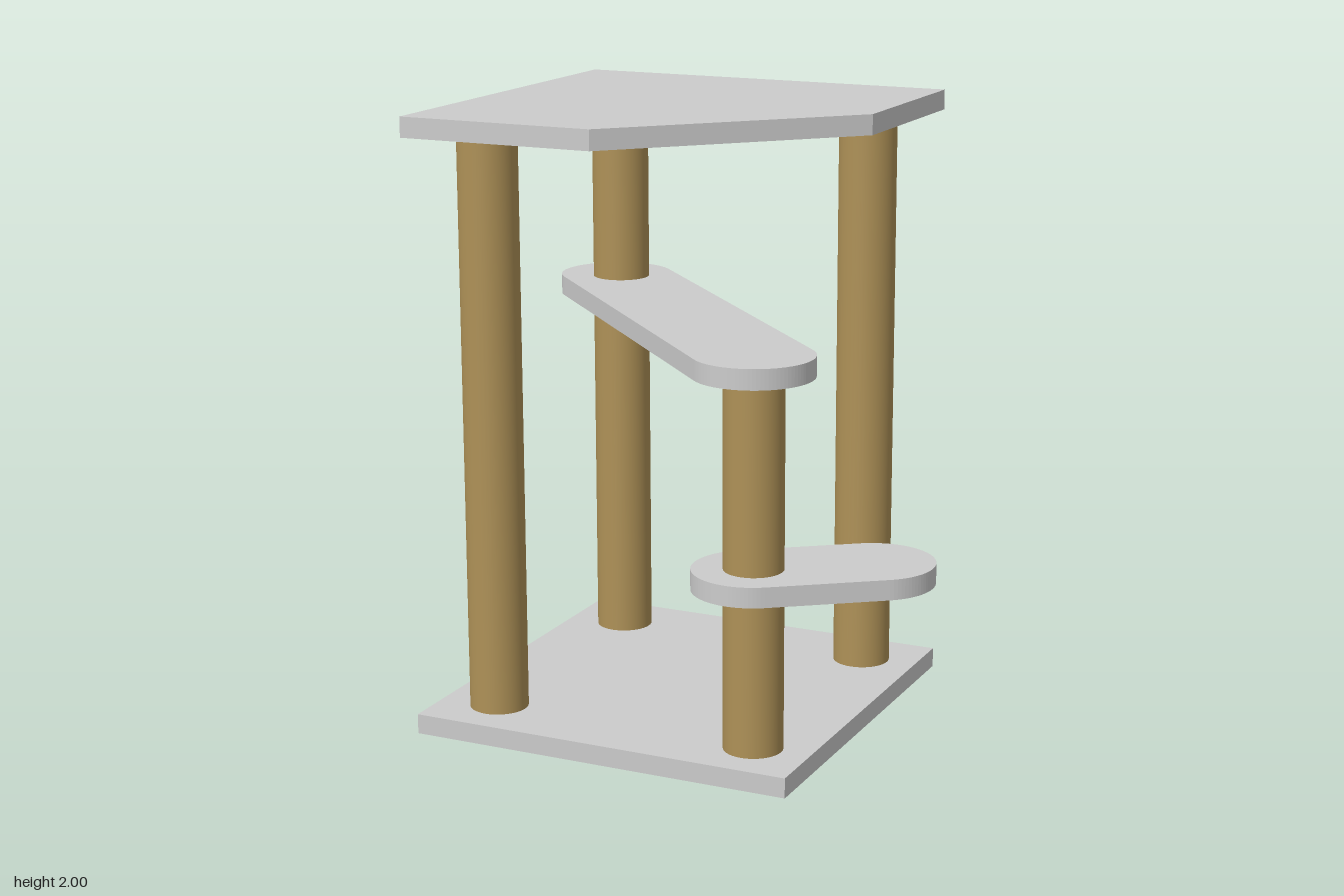
import * as THREE from 'three';

const grey = new THREE.MeshStandardMaterial({ color: 0xcccccc });
const wood = new THREE.MeshStandardMaterial({ color: 0xae9157 });
const THICK = 0.065;

// Horizontal board from an outline in x and z, with its upper face at height top
function board(name, shape, top) {
  const geo = new THREE.ExtrudeGeometry(shape, { depth: THICK, bevelEnabled: false, curveSegments: 24 });
  geo.rotateX(Math.PI / 2);
  geo.translate(0, top, 0);
  const mesh = new THREE.Mesh(geo, grey);
  mesh.name = name;
  return mesh;
}

function polygon(points) {
  return new THREE.Shape(points.map(([x, z]) => new THREE.Vector2(x, z)));
}

// Outline with two round ends centred on a and b
function roundEnded(a, b, r) {
  const dir = Math.atan2(b[1] - a[1], b[0] - a[0]);
  const shape = new THREE.Shape();
  shape.absarc(a[0], a[1], r, dir + Math.PI / 2, dir + Math.PI * 1.5, false);
  shape.absarc(b[0], b[1], r, dir - Math.PI / 2, dir + Math.PI / 2, false);
  shape.closePath();
  return shape;
}

function post(name, x, z, top) {
  const bottom = 0.03;
  const mesh = new THREE.Mesh(new THREE.CylinderGeometry(0.095, 0.095, top - bottom, 40), wood);
  mesh.position.set(x, (top + bottom) / 2, z);
  mesh.name = name;
  return mesh;
}

export function createModel() {
  const group = new THREE.Group();
  group.name = 'catTree';
  const x0 = -0.79, x1 = 0.5, z0 = -0.64, z1 = 0.65;

  // Square base and roof with its front left corner cut off
  group.add(board('base', polygon([[x0, z0], [x1, z0], [x1, z1], [x0, z1]]), THICK));
  group.add(board('roof', polygon([[x0, z0], [x1, z0], [x1, 0], [-0.14, z1], [x0, z1]]), 2));

  // Three full posts; the one under the cut corner stops at the long shelf
  group.add(
    post('frontRightPost', -0.595, 0.46, 1.96),
    post('backRightPost', -0.595, -0.445, 1.96),
    post('backLeftPost', 0.31, -0.445, 1.96),
    post('frontLeftPost', 0.31, 0.46, 1.3)
  );

  // Long diagonal shelf and small step
  group.add(board('longShelf', roundEnded([0.31, 0.465], [-0.625, -0.47], 0.19), 1.325));
  group.add(board('stepShelf', roundEnded([0.305, 0.46], [0.62, 0.235], 0.19), 0.65));
  return group;
}
